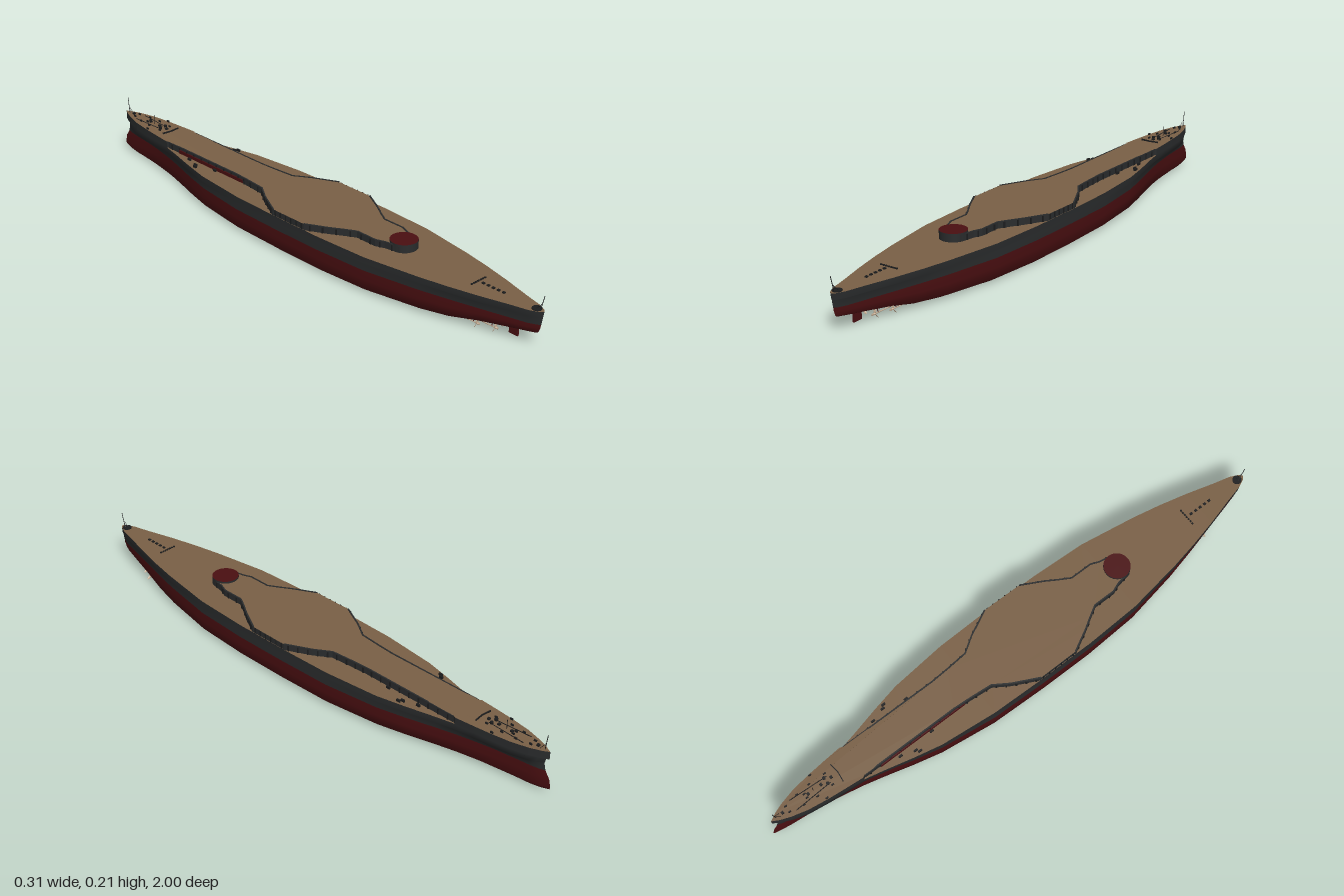
import * as THREE from 'three';

const mat = (name, color) => Object.assign(new THREE.MeshStandardMaterial({ color }), { name });

// z, deck half width, waterline half width, bottom half width, keel height
const STATIONS = [
  [-1, 0, 0, 0, 0.02], [-0.97, 0.014, 0.007, 0.003, 0.012], [-0.93, 0.027, 0.012, 0.005, 0.007],
  [-0.87, 0.042, 0.018, 0.007, 0.004], [-0.8, 0.052, 0.027, 0.013, 0.001], [-0.74, 0.058, 0.038, 0.02, 0],
  [-0.67, 0.064, 0.053, 0.03, 0], [-0.6, 0.08, 0.071, 0.046, 0], [-0.5, 0.105, 0.099, 0.072, 0],
  [-0.4, 0.127, 0.123, 0.097, 0], [-0.2, 0.147, 0.148, 0.127, 0], [0, 0.152, 0.153, 0.135, 0],
  [0.2, 0.152, 0.153, 0.135, 0], [0.4, 0.143, 0.143, 0.12, 0], [0.6, 0.112, 0.108, 0.08, 0.002],
  [0.7, 0.092, 0.085, 0.055, 0.008], [0.8, 0.068, 0.06, 0.04, 0.028], [0.9, 0.04, 0.034, 0.02, 0.04],
  [0.96, 0.025, 0.02, 0.01, 0.045], [0.99, 0.011, 0.008, 0.004, 0.048], [1, 0, 0, 0, 0.05],
];
const DECK = 0.127, WATER = 0.08, RAISED = 0.148;

const lookup = (table, y) => {
  if (y <= table[0][0]) return table[0][1];
  for (let i = 1; i < table.length; i++) {
    const [y0, v0] = table[i - 1], [y1, v1] = table[i];
    if (y <= y1) return v0 + (v1 - v0) * (y - y0) / (y1 - y0);
  }
  return table[table.length - 1][1];
};
const STEM = [[0, 0.75], [0.02, 0.95], [0.042, 1], [0.08, 0.74], [0.105, 0.68], [0.127, 0.74], [0.15, 0.85]];
const STERN = [[0.04, 0.75], [0.06, 0.88], [0.127, 1]];
// Bends the end stations to the raked stem and stern profiles
const rake = (z, y) => z < -0.9 ? -0.9 + (z + 0.9) * lookup(STEM, y)
  : z > 0.9 ? 0.9 + (z - 0.9) * lookup(STERN, y) : z;
const sheer = (z) => Math.max(0, -z - 0.5) * 0.014;

// Skins a row of cross-sections, each a list of [x, y]
function loft(section) {
  const pos = [], index = [];
  let n = 0;
  STATIONS.forEach((s, i) => {
    const pts = section(s);
    n = pts.length;
    pts.forEach(([x, y]) => pos.push(x, y, rake(s[0], y)));
    if (!i) return;
    for (let j = 0; j < n - 1; j++) {
      const a = (i - 1) * n + j, b = i * n + j;
      index.push(a, a + 1, b, a + 1, b + 1, b);
    }
  });
  const g = new THREE.BufferGeometry();
  g.setAttribute('position', new THREE.Float32BufferAttribute(pos, 3));
  g.setIndex(index);
  g.computeVertexNormals();
  return g;
}

export function createModel() {
  const wood = mat('deck wood', 0x7a6046);
  const grey = mat('dark grey', 0x2a2c2d);
  const red = mat('hull red', 0x4a0f11);
  const bronze = mat('propeller bronze', 0xc8b096);
  const black = mat('fittings black', 0x1c1d1e);
  const model = new THREE.Group();
  const add = (name, geo, material, x = 0, y = 0, z = 0, parent = model) => {
    const m = new THREE.Mesh(geo, material);
    m.name = name;
    m.position.set(x, y, z);
    parent.add(m);
    return m;
  };
  const box = (name, w, h, d, material, x, y, z) =>
    add(name, new THREE.BoxGeometry(w, h, d), material, x, y, z);
  const rod = (name, a, b, r, material) => add(name, new THREE.TubeGeometry(
    new THREE.LineCurve3(new THREE.Vector3(...a), new THREE.Vector3(...b)), 1, r, 6), material);

  // Underwater hull, topsides and main deck
  add('lowerHull', loft(([, , w, b, k]) => {
    const half = [[b, k], [b + 0.8 * (w - b), k + 0.15 * (WATER - k)], [w, k + 0.6 * (WATER - k)], [w, WATER]];
    return [...half.map(([x, y]) => [-x, y]).reverse(), [0, k], ...half];
  }), red);
  const side = ([, d, w]) => [[w, WATER], [w + (d - w) * 0.4, 0.105], [d, 0.106], [d, DECK]];
  add('leftTopside', loft(side), grey);
  add('rightTopside', loft((s) => side(s).map(([x, y]) => [-x, y]).reverse()), grey);
  add('mainDeck', loft(([, d]) => [[d, DECK], [-d, DECK]]), wood);

  // Raised deck that narrows into the forecastle
  const walls = [[0.04, 0.455], [0.05, 0.40], [0.062, 0.37], [0.062, 0.29], [0.085, 0.25], [0.11, 0.21], [0.15, 0.135],
    [0.151, -0.01], [0.106, -0.1], [0.07, -0.155], [0.063, -0.235], [0.059, -0.3], [0.059, -0.66]];
  const bow = STATIONS.filter((s) => s[0] <= -0.67).reverse().map((s) => [s[1], rake(s[0], 0.15)]);
  const half = [...walls, ...bow];
  const outline = [...half, ...half.slice(0, -1).map(([x, z]) => [-x, z]).reverse()];
  const shape = new THREE.Shape(outline.map(([x, z]) => new THREE.Vector2(x, -z)));
  const raised = new THREE.ExtrudeGeometry(shape, { depth: RAISED - DECK, bevelEnabled: false });
  raised.rotateX(-Math.PI / 2).translate(0, DECK, 0);
  const p = raised.attributes.position;
  for (let i = 0; i < p.count; i++) if (p.getY(i) > DECK + 0.01) p.setY(i, p.getY(i) + sheer(p.getZ(i)));
  raised.computeVertexNormals();
  add('raisedDeck', raised, [wood, grey]);

  // Coaming and wall stiffeners along the break of the raised deck
  for (const s of [1, -1]) {
    for (let i = 0; i < walls.length - 1; i++) {
      if (i === 6) continue;
      const [x0, z0] = walls[i], [x1, z1] = walls[i + 1];
      const dx = s * (x1 - x0), dz = z1 - z0, len = Math.hypot(dx, dz);
      const bar = box('deckCoaming', 0.005, 0.023, len, grey, s * (x0 + x1) / 2, 0.1385, (z0 + z1) / 2);
      bar.rotation.y = Math.atan2(dx, dz);
      const n = Math.max(1, Math.round(len / 0.04));
      for (let k = 0; k < n; k++) {
        const t = (k + 0.5) / n;
        const rib = box('wallStiffener', 0.01, 0.02, 0.005, black, s * (x0 + (x1 - x0) * t), 0.137, z0 + dz * t);
        rib.rotation.y = bar.rotation.y;
      }
    }
    // Side gallery posts and deck edge lockers
    for (let z = 0; z <= 0.13; z += 0.025) box('sidePost', 0.003, 0.02, 0.004, black, s * 0.1515, 0.138, z);
    for (const [x, z] of [[0.09, -0.48], [0.1, -0.47], [0.075, -0.53], [0.07, -0.4], [0.053, 0.36]])
      box('deckLocker', 0.006, 0.008, 0.014, black, s * x, 0.131, z);
  }
  box('redBulkhead', 0.004, 0.012, 0.34, red, -0.0635, 0.134, -0.43);

  // Gun well ring with a red floor on top
  add('barbette', new THREE.CylinderGeometry(0.046, 0.046, 0.028, 32), [grey, red, grey], 0, 0.141, 0.435);

  // Forecastle gear: breakwater, capstans, chains, bollards
  const top = (z) => RAISED + sheer(z);
  for (const s of [1, -1]) {
    const wave = box('breakwater', 0.036, 0.006, 0.003, black, s * 0.017, top(-0.73) + 0.003, -0.725);
    wave.rotation.y = s * 0.12;
    rod('anchorChain', [s * 0.012, top(-0.76) + 0.001, -0.76], [s * 0.02, top(-0.9) + 0.001, -0.9], 0.0015, black);
    add('capstan', new THREE.CylinderGeometry(0.006, 0.005, 0.008, 12), black, s * 0.011, top(-0.77) + 0.004, -0.77);
    for (const [x, z] of [[0.024, -0.76], [0.026, -0.82], [0.022, -0.87], [0.008, -0.85], [0.012, -0.92], [0.05, -0.8]])
      box('bollard', 0.004, 0.006, 0.01, black, s * x * 0.95, top(z) + 0.003, z);
    // Anchor on the bow side
    box('anchor', 0.006, 0.014, 0.012, black, s * 0.026, 0.125, -0.91);
  }
  for (const z of [-0.75, -0.79, -0.84, -0.94]) box('hatch', 0.009, 0.006, 0.009, black, 0, top(z) + 0.003, z);

  // Quarterdeck fittings
  for (let x = -0.03; x <= 0.031; x += 0.01) box('sternVent', 0.006, 0.004, 0.005, black, x, DECK + 0.002, 0.745);
  for (let z = 0.765; z < 0.85; z += 0.02) box('sternHatch', 0.008, 0.004, 0.009, black, 0, DECK + 0.002, z);
  add('sternPlate', new THREE.CylinderGeometry(0.016, 0.016, 0.004, 16), black, 0, DECK + 0.001, 0.972);

  // Flagstaffs with braces
  rod('bowStaff', [0, 0.15, -0.965], [0, 0.21, -0.972], 0.0012, black);
  rod('foreStaff', [0, 0.15, -0.82], [0, 0.188, -0.82], 0.001, black);
  rod('sternStaff', [0, DECK, 0.985], [0, 0.18, 0.998], 0.0012, black);
  for (const s of [1, -1]) {
    rod('bowStaffBrace', [s * 0.006, 0.153, -0.95], [0, 0.178, -0.968], 0.0008, black);
    rod('sternStaffBrace', [s * 0.006, DECK, 0.97], [0, 0.15, 0.99], 0.0008, black);
  }

  // Four screws with shafts and struts
  const blade = new THREE.SphereGeometry(1, 10, 6).scale(0.0042, 0.0075, 0.001);
  for (const s of [1, -1]) for (const [x, y, z] of [[0.05, 0.02, 0.79], [0.023, 0.015, 0.84]]) {
    const screw = new THREE.Group();
    screw.name = 'propeller';
    screw.position.set(s * x, y, z);
    model.add(screw);
    add('hub', new THREE.SphereGeometry(0.0035, 10, 8).scale(1, 1, 1.8), bronze, 0, 0, 0, screw);
    for (let k = 0; k < 3; k++) {
      const a = k * Math.PI * 2 / 3;
      const m = add('blade', blade, bronze, -Math.sin(a) * 0.0085, Math.cos(a) * 0.0085, 0, screw);
      m.rotation.set(0, 0, a);
      m.rotateY(0.5 * s);
    }
    rod('shaft', [s * x, y, z], [s * x, y - 0.001, z - 0.18], 0.0018, bronze);
    rod('strut', [s * x, y, z - 0.015], [s * (x - 0.01), 0.045, z - 0.015], 0.0014, red);
  }

  // Rudder
  box('rudder', 0.006, 0.028, 0.034, red, 0, 0.02, 0.892);
  rod('rudderStock', [0, 0.02, 0.885], [0, 0.055, 0.885], 0.003, red);
  return model;
}
